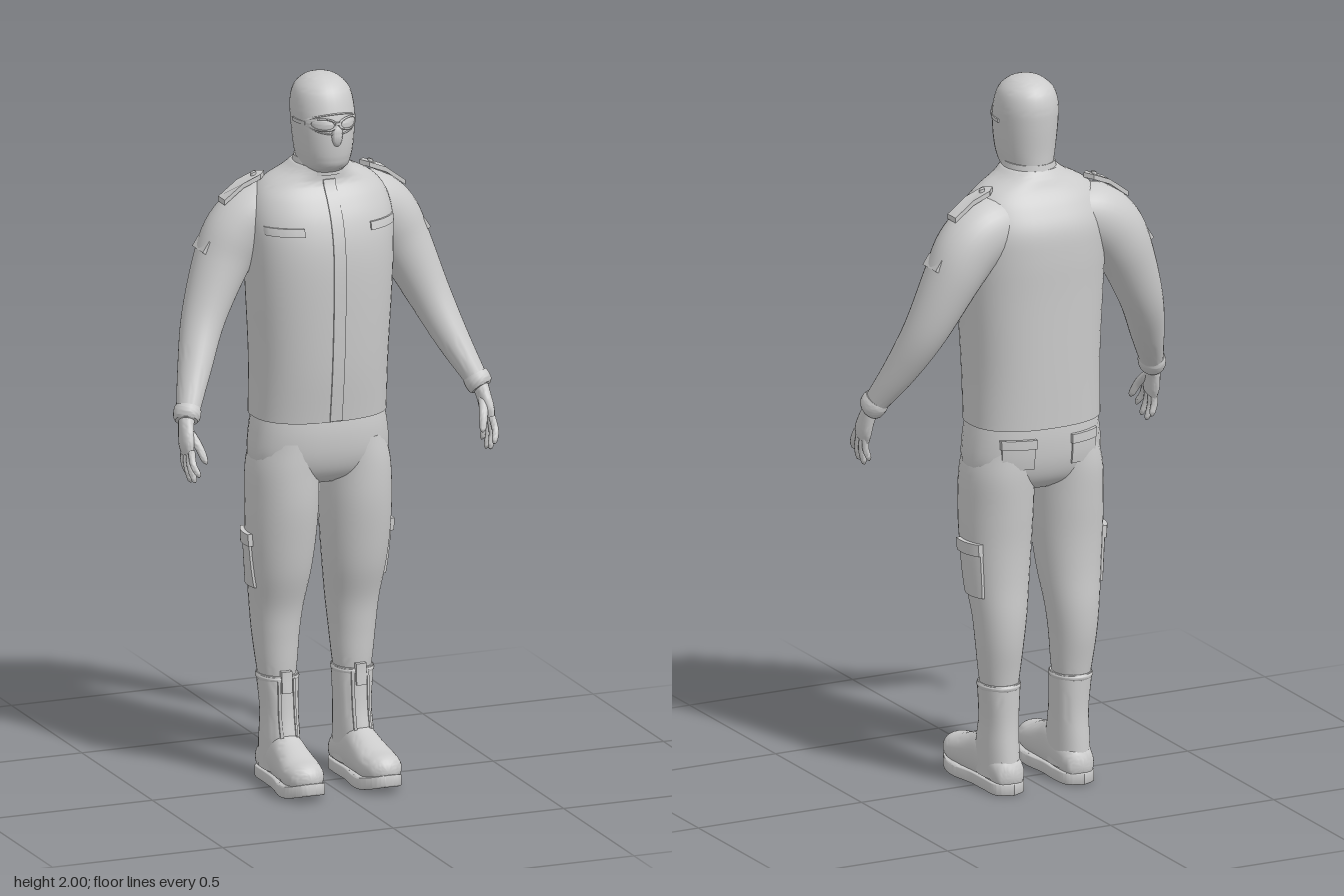
import * as THREE from 'three';
import { toCreasedNormals } from 'three/addons/utils/BufferGeometryUtils.js';

const V3 = (x, y, z) => new THREE.Vector3(x, y, z);
const X = V3(1, 0, 0), Y = V3(0, 1, 0), Z = V3(0, 0, 1);

// Smoothly resample cross-sections [x, y, z, radiusU, radiusV]
function dense(rows, per = 5) {
  const mid = new THREE.CatmullRomCurve3(rows.map(r => V3(r[0], r[1], r[2])), false, 'catmullrom');
  const rad = new THREE.CatmullRomCurve3(rows.map(r => V3(r[3], r[4], 0)), false, 'catmullrom');
  const n = (rows.length - 1) * per;
  return Array.from({ length: n + 1 }, (_, i) => {
    const c = mid.getPoint(i / n), r = rad.getPoint(i / n);
    return [c.x, c.y, c.z, Math.max(r.x, 0.001), Math.max(r.y, 0.001)];
  });
}

// Capped skin over superelliptic rings; axis fixes the ring plane, otherwise rings follow the path
function loft(rows, { ref = Z, axis = null, sides = 32, pow = 2, per = 5 } = {}) {
  const ds = dense(rows, per), pos = [], idx = [], n = ds.length;
  const centre = i => V3(ds[i][0], ds[i][1], ds[i][2]);
  for (let i = 0; i < n; i++) {
    const T = axis ? axis.clone() : centre(Math.min(i + 1, n - 1)).sub(centre(Math.max(i - 1, 0))).normalize();
    const v = ref.clone().addScaledVector(T, -ref.dot(T)).normalize();
    const u = v.clone().cross(T);
    for (let j = 0; j < sides; j++) {
      const a = j / sides * Math.PI * 2, c = Math.cos(a), s = Math.sin(a);
      const p = centre(i)
        .addScaledVector(u, Math.sign(c) * Math.abs(c) ** (2 / pow) * ds[i][3])
        .addScaledVector(v, Math.sign(s) * Math.abs(s) ** (2 / pow) * ds[i][4]);
      pos.push(p.x, p.y, p.z);
      if (i < n - 1) {
        const k = i * sides + j, l = i * sides + (j + 1) % sides;
        idx.push(k, l, l + sides, k, l + sides, k + sides);
      }
    }
  }
  const end = (n - 1) * sides;
  pos.push(...centre(0), ...centre(n - 1));
  for (let j = 0; j < sides; j++) {
    const l = (j + 1) % sides;
    idx.push(n * sides, l, j, n * sides + 1, end + j, end + l);
  }
  const g = new THREE.BufferGeometry();
  g.setAttribute('position', new THREE.Float32BufferAttribute(pos, 3));
  g.setIndex(idx);
  return g;
}

// Move each vertex of a geometry by a rule
function warp(g, rule) {
  const p = g.attributes.position, v = V3();
  for (let i = 0; i < p.count; i++) {
    rule(v.fromBufferAttribute(p, i));
    p.setXYZ(i, v.x, v.y, v.z);
  }
  return g;
}

// Lay a flat detail onto the front, back (along z) or outer side (along x) of an upright loft
function press(g, rows, along = 'z', sign = 1, pow = 2) {
  const ds = dense(rows);
  return warp(g, v => {
    let i = ds.findIndex(r => r[1] > v.y);
    i = i < 1 ? (i < 0 ? ds.length - 1 : 1) : i;
    const a = ds[i - 1], b = ds[i], t = THREE.MathUtils.clamp((v.y - a[1]) / (b[1] - a[1]), 0, 1);
    const [cx, , cz, rx, rz] = a.map((q, k) => q + (b[k] - q) * t);
    const bulge = q => Math.max(0, 1 - Math.abs(q) ** pow) ** (1 / pow);
    if (along === 'z') v.z += cz + sign * rz * bulge((v.x - cx) / rx);
    else v.x += cx + sign * rx * bulge((v.z - cz) / rz);
  });
}

function mirrored(g) {
  const m = g.index ? g.toNonIndexed() : g.clone();
  m.scale(-1, 1, 1);
  const p = m.attributes.position, a = V3(), b = V3();
  for (let i = 0; i < p.count; i += 3) {
    a.fromBufferAttribute(p, i + 1);
    b.fromBufferAttribute(p, i + 2);
    p.setXYZ(i + 1, b.x, b.y, b.z);
    p.setXYZ(i + 2, a.x, a.y, a.z);
  }
  return m;
}

export function createModel() {
  const model = new THREE.Group();
  const mat = new THREE.MeshStandardMaterial({ color: 0xcccccc });
  const add = (name, g) => {
    const mesh = new THREE.Mesh(toCreasedNormals(g, 0.8), mat);
    mesh.name = name;
    model.add(mesh);
  };
  const pair = (name, g) => {
    add(name + 'Left', g);
    add(name + 'Right', mirrored(g));
  };
  const box = (w, h, d, x, y, z, sx = 12, sy = 4, sz = 1) => new THREE.BoxGeometry(w, h, d, sx, sy, sz).translate(x, y, z);

  // Jacket body and collar
  const torso = [[0, 1.04, -0.04, 0.19, 0.14], [0, 1.2, -0.033, 0.19, 0.152], [0, 1.4, -0.03, 0.2, 0.16],
    [0, 1.52, -0.033, 0.205, 0.161], [0, 1.6, -0.039, 0.205, 0.15], [0, 1.66, -0.04, 0.188, 0.122],
    [0, 1.7, -0.04, 0.155, 0.094], [0, 1.73, -0.033, 0.1, 0.085], [0, 1.75, -0.025, 0.074, 0.08]];
  add('jacket', loft(torso, { axis: Y, pow: 2.4, sides: 48 }));
  add('collar', loft([[0, 1.725, -0.026, 0.08, 0.085], [0, 1.745, -0.024, 0.074, 0.083], [0, 1.765, -0.023, 0.07, 0.08]], { axis: Y }));
  add('frontPlacket', press(box(0.035, 0.67, 0.008, -0.003, 1.378, 0, 4, 40), torso, 'z', 1, 2.4));
  pair('chestPocketFlap', press(box(0.092, 0.022, 0.014, 0.143, 1.585, 0), torso, 'z', 1, 2.4));

  // Head in a balaclava, with nose
  const head = [[0, 1.7, -0.035, 0.06, 0.062], [0, 1.735, -0.02, 0.063, 0.08], [0, 1.757, -0.005, 0.067, 0.096],
    [0, 1.8, 0, 0.076, 0.102], [0, 1.87, -0.002, 0.083, 0.105], [0, 1.92, -0.008, 0.083, 0.099],
    [0, 1.96, -0.011, 0.073, 0.084], [0, 1.985, -0.012, 0.05, 0.058], [0, 1.996, -0.012, 0.026, 0.03], [0, 2, -0.012, 0.002, 0.002]];
  add('head', loft(head, { axis: Y, pow: 2.15 }));
  add('nose', new THREE.SphereGeometry(1, 20, 14).scale(0.017, 0.035, 0.018).translate(0, 1.85, 0.097));

  // Goggles and the rim of the eye opening
  const ring = (r, tube, sx, sy, x, y, z) => press(new THREE.TorusGeometry(r, tube, 8, 48).scale(sx, sy, 1).translate(x, y, z), head);
  add('eyeOpeningRim', ring(0.074, 0.005, 1, 0.37, 0, 1.88, 0));
  pair('goggleFrame', ring(0.026, 0.004, 1.2, 0.62, 0.037, 1.88, 0.007));
  pair('goggleLens', press(new THREE.SphereGeometry(1, 20, 12).scale(0.031, 0.016, 0.005).translate(0.037, 1.88, 0.004), head));
  add('goggleBridge', press(box(0.016, 0.007, 0.008, 0, 1.884, 0.008), head));
  pair('goggleTemple', press(box(0.007, 0.01, 0.06, 0, 1.878, 0.022, 1, 1, 8), head, 'x'));

  // Sleeves, cuffs and sleeve patches
  pair('sleeve', loft([[0.1, 1.615, -0.07, 0.075, 0.08], [0.165, 1.598, -0.078, 0.09, 0.088], [0.222, 1.55, -0.082, 0.09, 0.086],
    [0.268, 1.47, -0.078, 0.078, 0.078], [0.33, 1.33, -0.05, 0.06, 0.064], [0.378, 1.21, 0.005, 0.046, 0.05], [0.426, 1.1, 0.07, 0.03, 0.035]]));
  pair('cuff', loft([[0.42, 1.118, 0.06, 0.034, 0.038], [0.424, 1.108, 0.065, 0.037, 0.041], [0.43, 1.092, 0.075, 0.036, 0.039], [0.433, 1.085, 0.08, 0.03, 0.033]], { sides: 20 }));
  pair('sleevePatch', new THREE.BoxGeometry(0.02, 0.035, 0.075, 1, 1, 8).rotateZ(0.585).translate(0.317, 1.525, -0.08));

  // Shoulder straps with pointed ends and buttons
  const strap = new THREE.Shape([[0.14, 0], [0.16, 0.023], [0.21, 0.023], [0.265, 0.023], [0.265, -0.023], [0.21, -0.023], [0.16, -0.023]]
    .map(p => new THREE.Vector2(...p)));
  const drape = v => { const d = v.x - 0.14; v.y += 1.71 - 0.096 * d - 3.4 * d * d; };
  pair('shoulderStrap', warp(new THREE.ExtrudeGeometry(strap, { depth: 0.014, bevelEnabled: false })
    .rotateX(-Math.PI / 2).translate(0, -0.006, -0.078), drape));
  pair('strapButton', warp(new THREE.CylinderGeometry(0.007, 0.008, 0.008, 14).translate(0.172, 0.01, -0.078), drape));

  // Hands: palm, fanned fingers and thumb
  pair('palm', loft([[0.43, 1.095, 0.073, 0.022, 0.024], [0.437, 1.06, 0.087, 0.019, 0.031],
    [0.441, 1.025, 0.1, 0.017, 0.037], [0.441, 0.998, 0.107, 0.012, 0.034]], { sides: 18 }));
  const fingers = [[0.135, 0.168, 0.948], [0.118, 0.14, 0.926], [0.1, 0.111, 0.92], [0.083, 0.083, 0.938]];
  fingers.forEach(([z0, z1, y1], i) => pair('finger' + (i + 1), loft([[0.441, 1.015, z0, 0.01, 0.01],
    [0.443, (1.015 + y1) / 2, (z0 + z1) / 2 + 0.002, 0.0095, 0.0095], [0.435, y1 + 0.01, z1, 0.008, 0.008], [0.432, y1, z1, 0.002, 0.002]], { sides: 10 })));
  pair('thumb', loft([[0.432, 1.06, 0.095, 0.012, 0.014], [0.418, 1.025, 0.13, 0.011, 0.012],
    [0.408, 0.99, 0.15, 0.009, 0.009], [0.405, 0.98, 0.156, 0.002, 0.002]], { sides: 10, ref: X }));

  // Trousers
  const hips = [[0, 0.85, -0.038, 0.12, 0.06], [0, 0.88, -0.037, 0.175, 0.105], [0, 0.93, -0.036, 0.197, 0.128],
    [0, 1.0, -0.036, 0.193, 0.135], [0, 1.08, -0.038, 0.178, 0.13]];
  const leg = [[0.11, 0.28, -0.06, 0.048, 0.055], [0.111, 0.34, -0.062, 0.056, 0.063], [0.112, 0.42, -0.066, 0.064, 0.073],
    [0.111, 0.5, -0.063, 0.073, 0.081], [0.11, 0.6, -0.046, 0.086, 0.095], [0.109, 0.7, -0.037, 0.095, 0.106],
    [0.107, 0.8, -0.034, 0.098, 0.117], [0.104, 0.9, -0.036, 0.096, 0.122], [0.09, 0.98, -0.036, 0.09, 0.12]];
  add('hips', loft(hips, { axis: Y, pow: 2.3 }));
  pair('trouserLeg', loft(leg, { axis: Y, pow: 2.1 }));
  pair('backPocket', press(box(0.085, 0.075, 0.012, 0.1, 0.965, 0), hips, 'z', -1, 2.3));
  pair('backPocketFlap', press(box(0.092, 0.026, 0.022, 0.1, 1.0, 0), hips, 'z', -1, 2.3));
  pair('thighPocket', press(box(0.014, 0.13, 0.085, 0, 0.625, -0.062, 1, 8, 10), leg, 'x', 1, 2.1));
  pair('thighPocketFlap', press(box(0.026, 0.034, 0.095, 0, 0.698, -0.058, 1, 3, 10), leg, 'x', 1, 2.1));

  // Boots: shaft, foot, front seams and sole
  const shaft = [[0.108, 0.04, -0.05, 0.05, 0.085], [0.108, 0.12, -0.047, 0.05, 0.08], [0.107, 0.2, -0.052, 0.049, 0.068], [0.11, 0.305, -0.058, 0.056, 0.064]];
  pair('bootShaft', loft(shaft, { axis: Y, pow: 2.2 }));
  pair('bootTopRim', loft([[0.11, 0.288, -0.058, 0.054, 0.062], [0.11, 0.297, -0.058, 0.059, 0.068], [0.11, 0.307, -0.058, 0.055, 0.063]], { axis: Y }));
  pair('bootFoot', loft([[0.107, 0.05, -0.138, 0.018, 0.02], [0.107, 0.055, -0.12, 0.042, 0.045], [0.107, 0.07, -0.06, 0.05, 0.06],
    [0.108, 0.08, 0.0, 0.049, 0.072], [0.11, 0.073, 0.06, 0.053, 0.059], [0.113, 0.065, 0.125, 0.057, 0.045],
    [0.114, 0.064, 0.172, 0.046, 0.037], [0.113, 0.062, 0.195, 0.018, 0.018]], { axis: Z, ref: Y, pow: 2.2 }));
  for (const [side, x] of [['Inner', 0.086], ['Outer', 0.13]])
    pair('bootSeam' + side, press(box(0.007, 0.2, 0.009, x, 0.2, 0, 1, 14), shaft, 'z', 1, 2.2));
  pair('bootTongue', press(box(0.03, 0.06, 0.014, 0.109, 0.292, 0, 4, 4), shaft, 'z', 1, 2.2));
  const outline = new THREE.Shape();
  outline.moveTo(0.107, -0.14);
  outline.splineThru([[0.148, -0.115], [0.152, -0.05], [0.154, 0.02], [0.166, 0.09], [0.166, 0.145], [0.142, 0.188], [0.112, 0.197],
    [0.08, 0.185], [0.057, 0.14], [0.055, 0.08], [0.062, 0.01], [0.06, -0.06], [0.067, -0.115], [0.107, -0.14]].map(p => new THREE.Vector2(...p)));
  pair('bootSole', warp(new THREE.ExtrudeGeometry(outline, { depth: 0.026, bevelSize: 0.004, bevelThickness: 0.004, bevelSegments: 2, curveSegments: 42 })
    .rotateX(Math.PI / 2).translate(0, 0.03, 0), v => { v.y += 1.6 * Math.max(0, v.z - 0.08) ** 2; }));

  return model;
}
